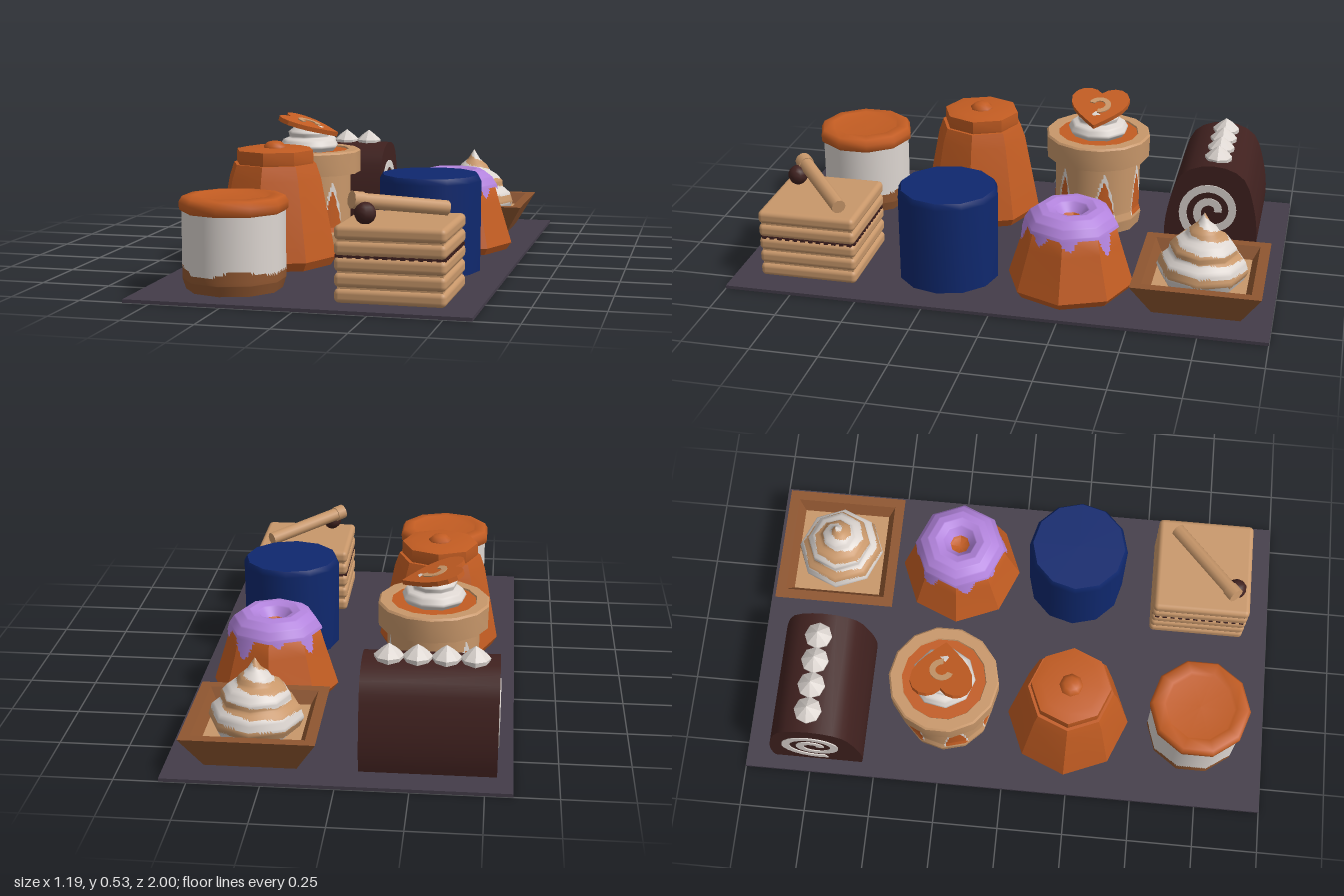
import * as THREE from 'three';
import { toCreasedNormals } from 'three/addons/utils/BufferGeometryUtils.js';
import { RoundedBoxGeometry } from 'three/addons/geometries/RoundedBoxGeometry.js';

const material = (name, color) => Object.assign(new THREE.MeshStandardMaterial({ color }), { name });
const slate = material('slate', 0x433c49);
const chocolate = material('chocolate', 0x40211f);
const cream = material('cream', 0xdcd5d0);
const biscuit = material('biscuit', 0xc8976a);
const crust = material('crust', 0x8f5630);
const orange = material('orange', 0xc25c22);
const blue = material('blue', 0x0f286e);
const lilac = material('lilac', 0xb283dc);

const part = (parent, name, geometry, mat, x = 0, y = 0, z = 0) => {
  const mesh = new THREE.Mesh(geometry, mat);
  mesh.name = name;
  mesh.position.set(x, y, z);
  parent.add(mesh);
  return mesh;
};

const group = (parent, name, x, z) => {
  const g = new THREE.Group();
  g.name = name;
  g.position.set(x, 0, z);
  parent.add(g);
  return g;
};

const toPoints = (profile) => profile.map(([r, y]) => new THREE.Vector2(r, y));

// Turned shape with few sides; sharp creases when asked
function turned(profile, sides, crease = 0) {
  const geometry = new THREE.LatheGeometry(toPoints(profile), sides);
  return crease ? toCreasedNormals(geometry, crease) : geometry;
}

// Finely divided turned shape with polygon outline, coloured per face by
// rule(angle, y, r) -> material index, or -1 to leave the face out
function painted(profile, sides, rule, steps = 8) {
  const points = [];
  toPoints(profile).forEach((p, i, all) => {
    if (i) for (let k = 1; k <= steps; k++) points.push(all[i - 1].clone().lerp(p, k / steps));
    else points.push(p);
  });
  const geometry = new THREE.LatheGeometry(points, sides * 12);
  const pos = geometry.attributes.position, index = geometry.index.array;
  const step = (2 * Math.PI) / sides;
  const c = new THREE.Vector3(), v = new THREE.Vector3();
  const buckets = [[], [], []];
  for (let i = 0; i < index.length; i += 3) {
    c.set(0, 0, 0);
    for (let k = 0; k < 3; k++) c.add(v.fromBufferAttribute(pos, index[i + k]));
    c.divideScalar(3);
    const m = rule(Math.atan2(c.x, c.z), c.y, Math.hypot(c.x, c.z));
    if (m >= 0) buckets[m].push(index[i], index[i + 1], index[i + 2]);
  }
  for (let i = 0; i < pos.count; i++) {
    const a = Math.atan2(pos.getX(i), pos.getZ(i)) + 2 * Math.PI + 1e-6;
    const f = Math.cos(step / 2) / Math.cos((a % step) - step / 2);
    pos.setX(i, pos.getX(i) * f);
    pos.setZ(i, pos.getZ(i) * f);
  }
  geometry.setIndex(buckets.flat());
  let start = 0;
  buckets.forEach((b, i) => { geometry.addGroup(start, b.length, i); start += b.length; });
  return geometry;
}

const swirl = (turns) => (a, y) => ((a / (2 * Math.PI) + y * turns + 10) % 1 < 0.45 ? 1 : 0);

// Flat spiral ribbon
function ribbon(r0, r1, turns, width, depth) {
  const inner = [], outer = [], n = 44;
  for (let i = 0; i <= n; i++) {
    const a = (i / n) * turns * 2 * Math.PI, r = r0 + ((r1 - r0) * i) / n;
    outer.push(new THREE.Vector2(Math.cos(a) * (r + width / 2), Math.sin(a) * (r + width / 2)));
    inner.push(new THREE.Vector2(Math.cos(a) * (r - width / 2), Math.sin(a) * (r - width / 2)));
  }
  return new THREE.ExtrudeGeometry(new THREE.Shape([...outer, ...inner.reverse()]), { depth, bevelEnabled: false });
}

function addRoll(parent) {
  const g = group(parent, 'chocolateRoll', -0.305, -0.72);
  const s = new THREE.Shape();
  s.moveTo(-0.17, 0.012).lineTo(0.17, 0.012);
  s.bezierCurveTo(0.19, 0.1, 0.17, 0.2, 0.14, 0.29);
  s.bezierCurveTo(0.11, 0.4, -0.11, 0.4, -0.14, 0.29);
  s.bezierCurveTo(-0.17, 0.2, -0.19, 0.1, -0.17, 0.012);
  const loaf = new THREE.ExtrudeGeometry(s, { depth: 0.47, bevelEnabled: false, curveSegments: 8 });
  loaf.translate(0, 0, -0.235).rotateY(Math.PI / 2);
  part(g, 'loaf', toCreasedNormals(loaf, 0.7), chocolate);
  for (const side of [1, -1]) {
    const end = part(g, 'creamSpiral', ribbon(0.025, 0.125, 1.8, 0.03, 0.005), cream, side * 0.234, 0.185, 0);
    end.rotation.y = (side * Math.PI) / 2;
  }
  const dollop = turned([[0.05, 0], [0.052, 0.02], [0.03, 0.04], [0, 0.062]], 8, 0.3);
  for (let i = 0; i < 4; i++) part(g, 'creamDollop', dollop, cream, -0.15 + i * 0.098, 0.36, -0.01);
}

function addTart(parent) {
  const g = group(parent, 'squareTart', 0.3, -0.73);
  const d = Math.SQRT2;
  const shell = turned([[0, 0.012], [0.16 * d, 0.012], [0.233 * d, 0.14], [0.195 * d, 0.14], [0.165 * d, 0.085]], 4, 0.3);
  part(g, 'tartShell', shell, crust).rotation.y = Math.PI / 4;
  part(g, 'tartFilling', new THREE.BoxGeometry(0.34, 0.02, 0.34), biscuit, 0, 0.085, 0);
  const whip = [[0.15, 0.09], [0.168, 0.13], [0.155, 0.17], [0.125, 0.195], [0.122, 0.22], [0.1, 0.245],
    [0.07, 0.262], [0.055, 0.285], [0.025, 0.31], [0, 0.35]];
  part(g, 'whippedCream', painted(whip, 8, swirl(14), 4), [cream, biscuit]);
}

function addHeartCup(parent) {
  const g = group(parent, 'heartCup', -0.29, -0.24);
  // Pointed orange slices edged with cream round the wall
  const slices = (a, y) => {
    const u = Math.abs((((a + 7) / (2 * Math.PI)) * 6) % 1 - 0.5);
    const h = 0.27 - 1.5 * u * u - 0.3 * u;
    if (y < 0.07 || u > 0.36) return 0;
    return y < h - 0.035 && u < 0.29 ? 1 : y < h ? 2 : 0;
  };
  part(g, 'cupWall', painted([[0.17, 0.012], [0.178, 0.06], [0.17, 0.09], [0.17, 0.305]], 12, slices, 12), [biscuit, orange, cream]);
  const rim = turned([[0.165, 0.3], [0.205, 0.3], [0.207, 0.385], [0.2, 0.392], [0.16, 0.392], [0.155, 0.38]], 14, 0.6);
  part(g, 'cupRim', rim, biscuit);
  part(g, 'orangeFilling', new THREE.CylinderGeometry(0.16, 0.16, 0.02, 14), orange, 0, 0.376, 0);
  const whip = [[0.1, 0.38], [0.12, 0.405], [0.105, 0.43], [0.08, 0.44], [0.085, 0.46], [0.06, 0.48], [0, 0.495]];
  part(g, 'cupCream', painted(whip, 9, swirl(9), 4), [cream, cream]);
  // Tilted heart biscuit with its point to the model's left
  const s = new THREE.Shape();
  s.moveTo(0.12, 0);
  s.bezierCurveTo(0.06, 0.06, 0.01, 0.12, -0.06, 0.115);
  s.bezierCurveTo(-0.13, 0.1, -0.13, 0.03, -0.085, 0);
  s.bezierCurveTo(-0.13, -0.03, -0.13, -0.1, -0.06, -0.115);
  s.bezierCurveTo(0.01, -0.12, 0.06, -0.06, 0.12, 0);
  const heart = new THREE.ExtrudeGeometry(s, { depth: 0.018, bevelEnabled: false, curveSegments: 5 });
  const lid = group(g, 'heartTopping', 0, 0);
  lid.position.y = 0.478;
  lid.rotation.z = -0.3;
  part(lid, 'heart', heart.rotateX(-Math.PI / 2), orange);
  part(lid, 'heartCurl', ribbon(0.04, 0.03, 0.7, 0.022, 0.005).rotateX(-Math.PI / 2), biscuit, -0.01, 0.017, 0);
}

function addGlazedCake(parent) {
  const g = group(parent, 'glazedCake', 0.3, -0.245);
  const cake = [[0, 0.012], [0.215, 0.012], [0.235, 0.04], [0.185, 0.2], [0.165, 0.27], [0.12, 0.31], [0.07, 0.31], [0.035, 0.27], [0, 0.26]];
  part(g, 'cake', turned(cake, 8, 0.6), orange);
  // Glaze with uneven drips
  const drips = (a, y, r) =>
    (r < 0.1 || y > 0.262 - 0.045 * Math.max(0, Math.sin(a * 8) + 0.6 * Math.sin(a * 5 + 1)) ? 0 : -1);
  const glaze = [[0.2, 0.17], [0.174, 0.27], [0.155, 0.3], [0.125, 0.322], [0.095, 0.328], [0.065, 0.318], [0.038, 0.285]];
  part(g, 'glaze', painted(glaze, 8, drips, 10), [lilac]);
}

function addPudding(parent) {
  const g = group(parent, 'orangePudding', -0.29, 0.235);
  part(g, 'puddingBody', turned([[0, 0.012], [0.215, 0.012], [0.235, 0.045], [0.178, 0.34], [0.16, 0.392], [0, 0.392]], 8, 0.4), orange);
  part(g, 'puddingCap', turned([[0.145, 0.385], [0.15, 0.4], [0.148, 0.442], [0.11, 0.45], [0, 0.448]], 8, 0.4), orange);
  part(g, 'knob', new THREE.SphereGeometry(0.046, 8, 5), orange, 0, 0.445, 0).scale.y = 0.65;
}

function addBlueCylinder(parent) {
  const g = group(parent, 'blueCake', 0.3, 0.22);
  const profile = [[0, 0.012], [0.188, 0.012], [0.188, 0.012], [0.19, 0.345], [0.178, 0.367], [0.178, 0.367], [0, 0.367]];
  part(g, 'blueGlaze', turned(profile, 12), blue);
}

function addJar(parent) {
  const g = group(parent, 'liddedCup', -0.29, 0.725);
  const wave = (a, y) => (y < 0.085 + 0.01 * Math.sin(a * 3) + 0.005 * Math.sin(a * 5) ? 1 : 0);
  part(g, 'cupBody', painted([[0.168, 0.012], [0.18, 0.05], [0.18, 0.29]], 10, wave, 20), [cream, crust]);
  const lid = [[0.175, 0.28], [0.188, 0.29], [0.19, 0.315], [0.178, 0.336], [0.135, 0.34], [0.127, 0.322], [0, 0.325]];
  part(g, 'cupLid', turned(lid, 10), orange);
}

function addLayerCake(parent) {
  const g = group(parent, 'layerCake', 0.3, 0.715);
  for (let i = 0; i < 5; i++) {
    part(g, 'biscuitLayer', new RoundedBoxGeometry(0.38, 0.05, 0.372, 3, 0.018), biscuit, 0, 0.038 + i * 0.053, 0);
    if (i < 4) part(g, 'filling', new THREE.BoxGeometry(0.358, 0.03, 0.35), i === 2 ? chocolate : biscuit, 0, 0.065 + i * 0.053, 0);
  }
  // Row of chocolate crumbs round one filling
  for (let i = 0; i < 12; i++) {
    const t = -0.165 + i * 0.03;
    for (const side of [1, -1]) {
      part(g, 'crumb', new THREE.BoxGeometry(0.016, 0.01, 0.012), chocolate, t, 0.171, side * 0.178);
      part(g, 'crumb', new THREE.BoxGeometry(0.012, 0.01, 0.016), chocolate, side * 0.182, 0.171, t);
    }
  }
  const a = new THREE.Vector3(-0.14, 0.352, 0.118), b = new THREE.Vector3(0.135, 0.3, -0.115);
  const stick = part(g, 'waferStick', new THREE.CylinderGeometry(0.027, 0.027, a.distanceTo(b), 10), biscuit);
  stick.position.copy(a).lerp(b, 0.5);
  stick.quaternion.setFromUnitVectors(new THREE.Vector3(0, 1, 0), b.clone().sub(a).normalize());
  part(stick, 'waferEdge', new THREE.CylinderGeometry(0.031, 0.031, 0.04, 10), biscuit, 0, -0.165, 0);
  part(g, 'berry', new THREE.SphereGeometry(0.038, 10, 7), chocolate, -0.095, 0.31, 0.125);
}

export function createModel() {
  const model = new THREE.Group();
  model.name = 'pastryTray';
  part(model, 'tray', new THREE.BoxGeometry(1.19, 0.012, 2), slate, 0, 0.006, 0);
  [addRoll, addTart, addHeartCup, addGlazedCake, addPudding, addBlueCylinder, addJar, addLayerCake].forEach((add) => add(model));
  return model;
}
